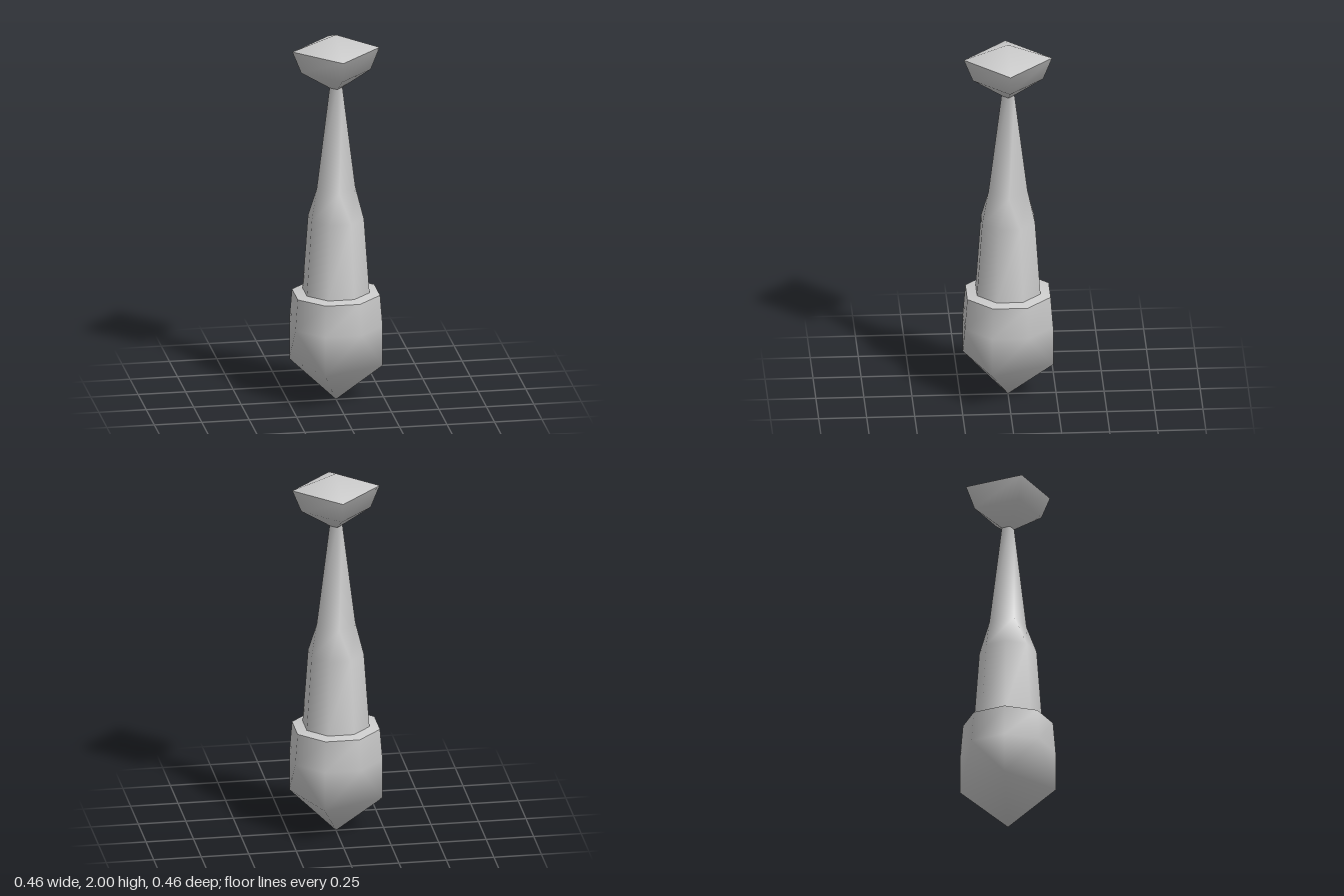
import * as THREE from 'three';
import { mergeVertices } from 'three/addons/utils/BufferGeometryUtils.js';

// Eight-point rings; square ones repeat each corner so every ring lofts to any other.
const DEG = Math.PI / 180;
const ringAngles = {
  octagon: (i) => 22.5 + 45 * i,
  twisted: (i) => 22.5 + 90 * Math.floor(i / 2), // every other octagon corner
  diamond: (i) => 90 * Math.ceil(i / 2),         // corners on the axes
};
const octagon = (y, apothem) => ({ y, r: apothem / Math.cos(22.5 * DEG), kind: 'octagon' });
const twisted = (y, apothem) => ({ y, r: apothem / Math.cos(22.5 * DEG), kind: 'twisted' });
const diamond = (y, r) => ({ y, r, kind: 'diamond' });

// Smooth skin through rings listed from bottom to top
function loft(rings) {
  const points = rings.map(({ y, r, kind }) =>
    Array.from({ length: 8 }, (_, i) => {
      const a = ringAngles[kind](i) * DEG;
      return new THREE.Vector3(r * Math.cos(a), y, r * Math.sin(a));
    }));
  const positions = [];
  const addTriangle = (a, b, c) => {
    if (new THREE.Triangle(a, b, c).getArea() < 1e-7) return;
    for (const p of [a, b, c]) positions.push(p.x, p.y, p.z);
  };
  for (let k = 0; k + 1 < points.length; k++) {
    const low = points[k], high = points[k + 1];
    for (let i = 0; i < 8; i++) {
      const j = (i + 1) % 8;
      addTriangle(low[i], high[i], low[j]);
      addTriangle(high[i], high[j], low[j]);
    }
  }
  const soup = new THREE.BufferGeometry();
  soup.setAttribute('position', new THREE.Float32BufferAttribute(positions, 3));
  const geometry = mergeVertices(soup, 1e-4);
  geometry.computeVertexNormals();
  return geometry;
}

export function createModel() {
  const model = new THREE.Group();
  model.name = 'spindle';
  const grey = new THREE.MeshStandardMaterial({ color: 0xcccccc });
  grey.name = 'light grey';

  const add = (name, ...rings) => {
    const mesh = new THREE.Mesh(loft(rings), grey);
    mesh.name = name;
    model.add(mesh);
  };

  // Pointed base: four-sided tip widening to an eight-sided cup
  add('base', twisted(0, 0), twisted(0.205, 0.23), octagon(0.42, 0.23), octagon(0.588, 0.217));
  add('baseRim', octagon(0.588, 0.217), octagon(0.598, 0.165));

  // Shaft: eight-sided below, four-sided neck above
  add('shaft', octagon(0.598, 0.165), octagon(1.0, 0.138), diamond(1.16, 0.102), diamond(1.71, 0.034));

  // Head with a low pyramid on top
  add('headUnderside', diamond(1.71, 0.034), diamond(1.8, 0.183), diamond(1.918, 0.23));
  add('headTop', diamond(1.918, 0.23), diamond(2, 0));

  return model;
}
